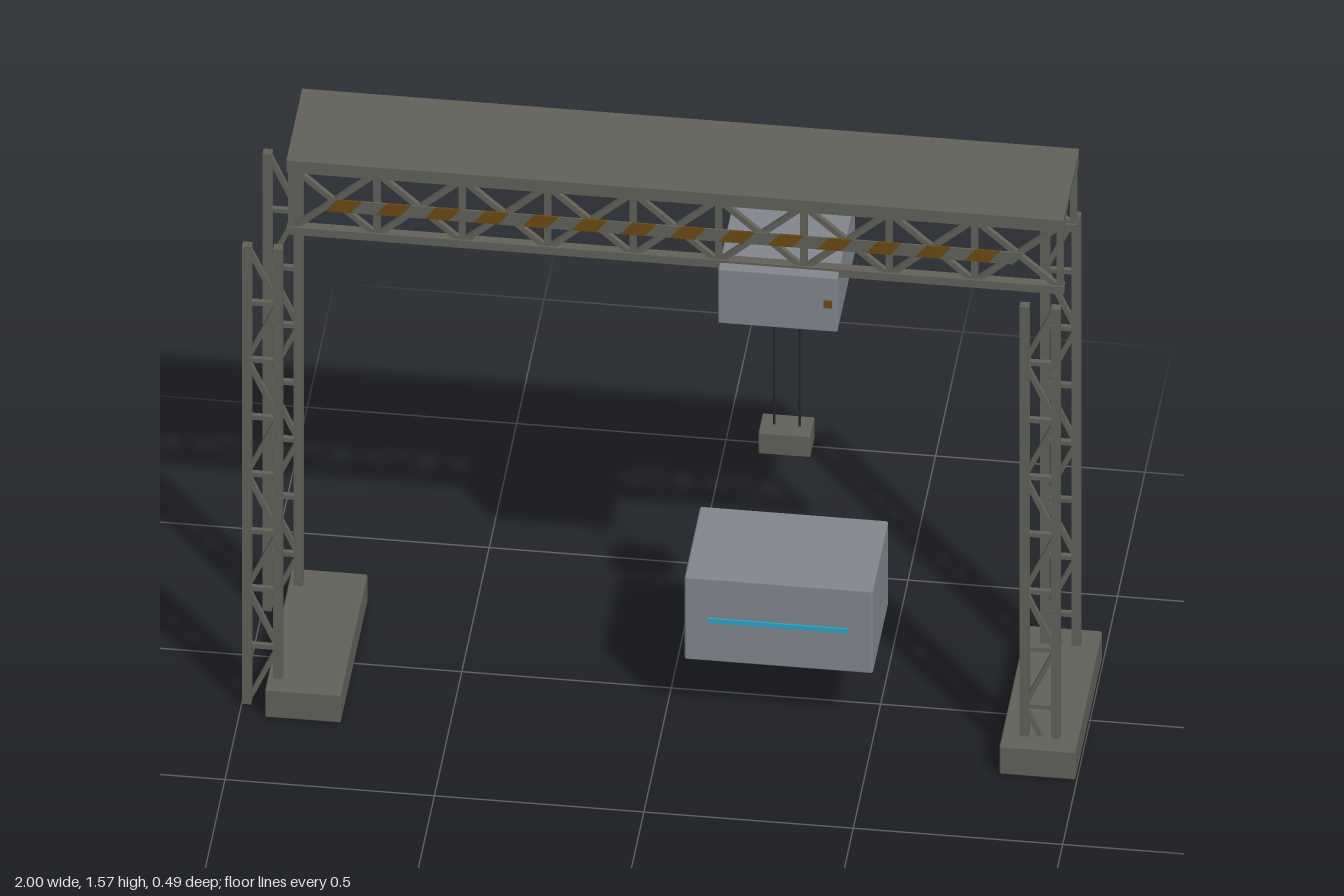
import * as THREE from 'three';
import { RoundedBoxGeometry } from 'three/addons/geometries/RoundedBoxGeometry.js';

const mat = (name, color) => {
  const m = new THREE.MeshStandardMaterial({ color });
  m.name = name;
  return m;
};

export function createModel() {
  const steel = mat('olive steel', 0x62625a);
  const panel = mat('grey panel', 0x83878e);
  const amber = mat('dark amber', 0x6b4a12);
  const cyan = mat('cyan', 0x2aa6c6);
  const black = mat('cable black', 0x26282a);

  const model = new THREE.Group();
  model.name = 'gantryCrane';

  const group = (name, parent = model) => {
    const g = new THREE.Group();
    g.name = name;
    parent.add(g);
    return g;
  };

  // Box given by its limits on each axis, with an optional small bevel
  const box = (name, parent, material, [x0, x1], [y0, y1], [z0, z1], bevel = 0) => {
    const s = [x1 - x0, y1 - y0, z1 - z0];
    const geo = bevel ? new RoundedBoxGeometry(...s, 1, bevel) : new THREE.BoxGeometry(...s);
    const mesh = new THREE.Mesh(geo, material);
    mesh.name = name;
    mesh.position.set((x0 + x1) / 2, (y0 + y1) / 2, (z0 + z1) / 2);
    parent.add(mesh);
    return mesh;
  };

  // Square bar between two points of a truss lying in the plane z
  const bar = (name, parent, ax, ay, bx, by, z, t) => {
    const mesh = new THREE.Mesh(new THREE.BoxGeometry(t, Math.hypot(bx - ax, by - ay), t), steel);
    mesh.name = name;
    mesh.position.set((ax + bx) / 2, (ay + by) / 2, z);
    mesh.rotation.z = -Math.atan2(bx - ax, by - ay);
    parent.add(mesh);
  };

  // Girder: top deck over two cross-braced side trusses
  const girder = group('girder');
  box('deck', girder, steel, [-0.9, 0.955], [1.547, 1.567], [-0.145, 0.145]);
  const bays = 9, gx0 = -0.89, gx1 = 0.945, low = 1.355, high = 1.537;
  const step = (gx1 - gx0) / bays;
  for (const z of [-0.125, 0.125]) {
    const truss = group(z > 0 ? 'frontTruss' : 'backTruss', girder);
    for (const y of [low, high])
      box('chord', truss, steel, [-0.9, 0.955], [y - 0.011, y + 0.011], [z - 0.012, z + 0.012]);
    for (let i = 0; i <= bays; i++) {
      const x = gx0 + i * step;
      bar('upright', truss, x, low, x, high, z, 0.016);
      if (i === bays) continue;
      bar('risingBrace', truss, x, low, x + step, high, z, 0.013);
      bar('fallingBrace', truss, x, high, x + step, low, z, 0.013);
    }
  }

  // Hazard band of slanted plates in front of the girder
  const band = group('hazardBand', girder);
  const count = 28, bx0 = -0.805, w = 1.64 / count, slant = 0.028;
  for (let i = 0; i < count; i++) {
    const x = bx0 + i * w;
    const shape = new THREE.Shape([
      new THREE.Vector2(x, 1.43), new THREE.Vector2(x + w, 1.43),
      new THREE.Vector2(x + w + slant, 1.465), new THREE.Vector2(x + slant, 1.465),
    ]);
    const geo = new THREE.ExtrudeGeometry(shape, { depth: 0.004, bevelEnabled: false });
    const stripe = new THREE.Mesh(geo, i % 2 ? steel : amber);
    stripe.name = 'hazardStripe';
    stripe.position.z = 0.145;
    band.add(stripe);
  }

  // Lattice legs, two on each side
  const height = 1.343, rungs = 8, rise = height / rungs;
  for (const [side, x0, x1] of [['right', -0.988, -0.914], ['left', 0.868, 0.943]]) {
    for (const z of [-0.187, 0.187]) {
      const leg = group(side + (z > 0 ? 'FrontLeg' : 'BackLeg'));
      for (const x of [x0, x1])
        box('post', leg, steel, [x - 0.011, x + 0.011], [0, height], [z - 0.011, z + 0.011]);
      const [outer, inner] = side === 'right' ? [x0, x1] : [x1, x0];
      for (let i = 0; i < rungs; i++) {
        const y = i * rise;
        if (i) bar('rung', leg, x0, y, x1, y, z, 0.012);
        const flip = i % 2 === 0;
        bar('brace', leg, flip ? outer : inner, y, flip ? inner : outer, y + rise, z, 0.012);
      }
    }
  }

  // Feet
  box('rightFoot', model, steel, [-0.938, -0.757], [0, 0.082], [-0.245, 0.245], 0.004);
  box('leftFoot', model, steel, [0.815, 0.997], [0, 0.082], [-0.245, 0.245], 0.004);

  // Trolley with its marker lamp, cables and lifting block
  const hoist = group('hoist');
  box('trolley', hoist, panel, [0.133, 0.418], [1.2, 1.36], [-0.163, 0.163], 0.004);
  box('markerLamp', hoist, amber, [0.385, 0.405], [1.273, 1.293], [0.162, 0.168]);
  for (const x of [0.246, 0.307]) {
    const cable = new THREE.Mesh(new THREE.CylinderGeometry(0.003, 0.003, 0.42, 8), black);
    cable.name = 'cable';
    cable.position.set(x, 0.995, 0);
    hoist.add(cable);
  }
  box('liftingBlock', hoist, steel, [0.213, 0.337], [0.735, 0.797], [-0.04, 0.04], 0.003);

  // Suspended cargo with a light strip on the front
  const cargo = group('cargo');
  box('container', cargo, panel, [0.05, 0.5], [0.19, 0.433], [-0.143, 0.143], 0.005);
  box('lightStrip', cargo, cyan, [0.108, 0.442], [0.307, 0.319], [0.142, 0.148]);

  return model;
}
